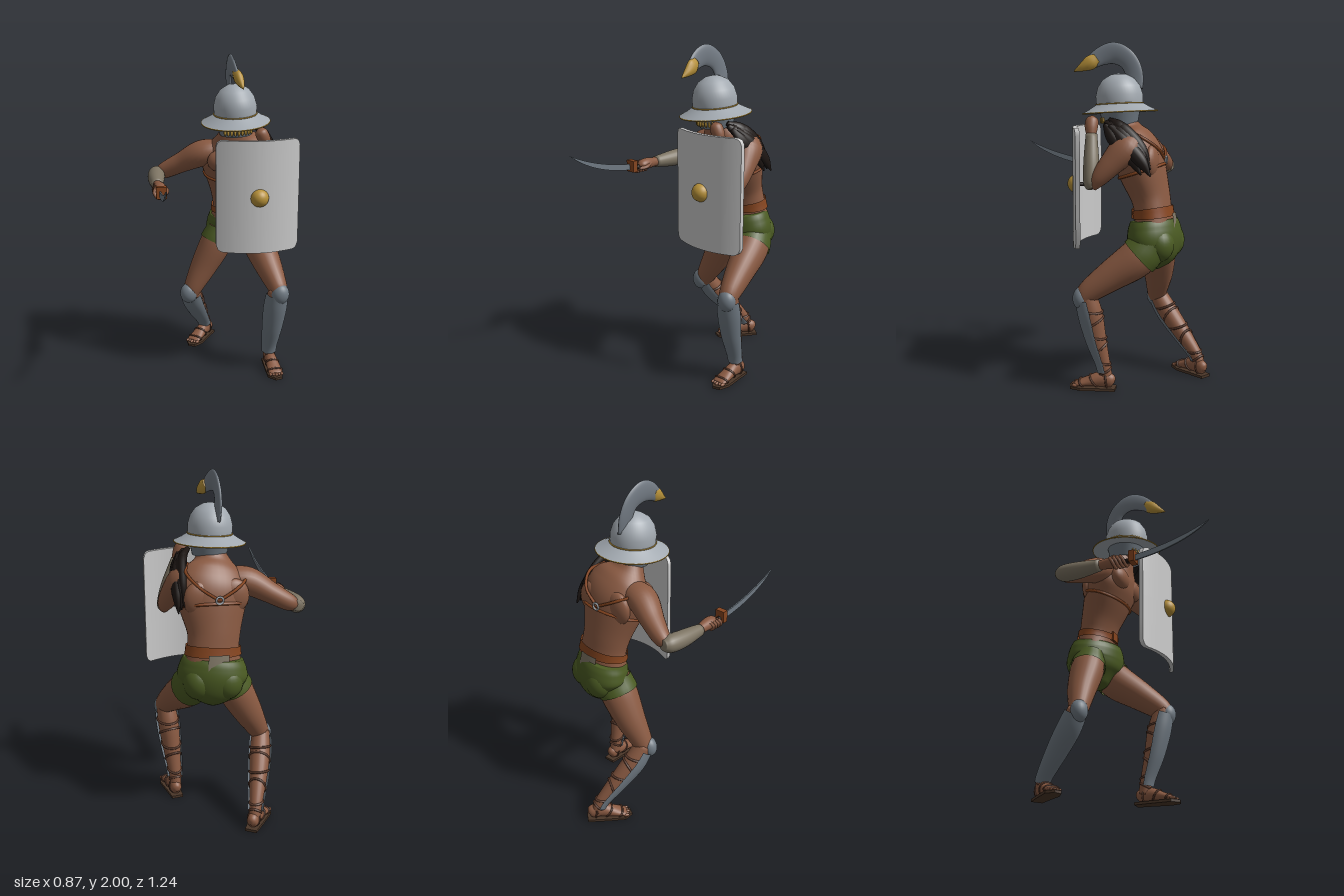
import * as THREE from 'three';
import { toCreasedNormals } from 'three/addons/utils/BufferGeometryUtils.js';

const V = (x, y, z) => new THREE.Vector3(x, y, z);
const mat = (color) => new THREE.MeshStandardMaterial({ color, side: THREE.DoubleSide });
const skin = mat(0x8a5a42), green = mat(0x4a5a22), leather = mat(0x86451f), strapMat = mat(0x5a3a2c);
const steel = mat(0xa2a9b0), darkSteel = mat(0x6f7982), gold = mat(0xb8923a), cloth = mat(0x7d7463);
const fur = mat(0x1c1512), plumeMat = mat(0x737b84), shieldMat = mat(0xe6e6e6), sole = mat(0x4a3628);

// Surface swept along points [x, y, z, sideRadius, frontRadius]; fwd is the front direction
function path(pts, fwd) {
  const pos = new THREE.CatmullRomCurve3(pts.map((p) => V(p[0], p[1], p[2])), false, 'catmullrom', 0.5);
  const rad = new THREE.CatmullRomCurve3(pts.map((p) => V(p[3], p[4] ?? p[3], 0)), false, 'catmullrom', 0.5);
  return (u, a, grow = 0) => {
    const c = pos.getPoint(u), r = rad.getPoint(u), t = pos.getTangent(u);
    const f = fwd.clone().addScaledVector(t, -fwd.dot(t)).normalize();
    const s = t.clone().cross(f);
    return c.addScaledVector(f, (Math.max(r.y, 0) + grow) * Math.cos(a))
      .addScaledVector(s, (Math.max(r.x, 0) + grow) * Math.sin(a));
  };
}

function sweep(name, at, material, { u0 = 0, u1 = 1, grow = 0, arc = Math.PI, rows = 24, cols = 24, cap = true } = {}) {
  const closed = arc === Math.PI, n = closed ? cols : cols + 1, v = [], idx = [];
  for (let i = 0; i <= rows; i++) for (let j = 0; j < n; j++) {
    v.push(...at(u0 + (u1 - u0) * i / rows, -arc + 2 * arc * j / cols, grow).toArray());
  }
  for (let i = 0; i < rows; i++) for (let j = 0; j < cols; j++) {
    const a = i * n + j, b = i * n + (j + 1) % n;
    idx.push(a, b, a + n, b, b + n, a + n);
  }
  if (closed && cap) [0, rows].forEach((row) => {
    const mid = V(0, 0, 0), k = v.length / 3;
    for (let j = 0; j < n; j++) mid.add(V(...v.slice((row * n + j) * 3, (row * n + j) * 3 + 3)));
    v.push(...mid.divideScalar(n).toArray());
    for (let j = 0; j < n; j++) {
      const a = row * n + j, b = row * n + (j + 1) % n;
      row ? idx.push(a, b, k) : idx.push(b, a, k);
    }
  });
  const g = new THREE.BufferGeometry();
  g.setAttribute('position', new THREE.Float32BufferAttribute(v, 3));
  g.setIndex(idx);
  g.computeVertexNormals();
  return part(name, g, material);
}

function part(name, geo, material, p = [0, 0, 0], s = [1, 1, 1]) {
  const m = new THREE.Mesh(geo, material);
  m.name = name;
  m.position.set(...p);
  m.scale.set(...s);
  return m;
}
const ball = (name, p, s, material) => part(name, new THREE.SphereGeometry(1, 24, 16), material, p, s);
const cord = (name, pts, r, material, closed = false) =>
  part(name, new THREE.TubeGeometry(new THREE.CatmullRomCurve3(pts, closed), 32, r, 6, closed), material);
const band = (name, at, u, slope, r, material) => cord(name, Array.from({ length: 12 }, (_, k) => {
  const a = k * Math.PI / 6;
  return at(u + slope * Math.cos(a), a, 0.001);
}), r, material, true);

// Sandalled foot, pointing along local +z
function makeFoot(name, x, z, yaw) {
  const g = new THREE.Group();
  g.name = name;
  const outline = new THREE.Shape([[-0.035, -0.12], [0.035, -0.12], [0.042, -0.03], [0.054, 0.08], [0.035, 0.145], [-0.01, 0.155],
    [-0.05, 0.11], [-0.045, 0]].map(([a, b]) => new THREE.Vector2(a, -b)).reverse());
  const base = part('sandalSole', new THREE.ExtrudeGeometry(outline, { depth: 0.016, bevelEnabled: false }), sole);
  base.rotation.x = -Math.PI / 2;
  const at = path([[0, 0.05, -0.115, 0.01], [0, 0.055, -0.095, 0.032, 0.04], [0, 0.06, -0.03, 0.036, 0.044],
    [0, 0.042, 0.05, 0.043, 0.028], [0, 0.03, 0.105, 0.044, 0.015], [0, 0.027, 0.12, 0.03, 0.01]], V(0, 1, 0));
  g.add(base, sweep('footBody', at, skin));
  for (let i = 0; i < 5; i++) g.add(ball('toe', [-0.036 + i * 0.018, 0.025, 0.115 + (i === 2 ? 0.008 : 0)], [0.01, 0.01, 0.02], skin));
  for (const u of [0.3, 0.5, 0.7]) g.add(band('sandalStrap', at, u, 0.03, 0.006, strapMat));
  g.position.set(x, 0, z);
  g.rotation.y = yaw;
  return g;
}

// Leg with greave, knee cap and leather bindings
function makeLeg(name, thigh, shin, fwd, knee) {
  const g = new THREE.Group();
  g.name = name;
  const calf = path(shin, fwd), upper = path(thigh, fwd);
  g.add(sweep('thigh', upper, skin), sweep('calf', calf, skin));
  g.add(sweep('briefsLeg', upper, green, { u1: 0.22, grow: 0.008, rows: 6, cap: false }));
  g.add(sweep('greave', calf, darkSteel, { u0: 0.06, u1: 0.85, grow: 0.013, arc: 1.6 }));
  g.add(ball('kneeCap', knee, [0.056, 0.066, 0.05], darkSteel));
  for (let i = 0; i < 6; i++) g.add(band('legBinding', calf, 0.2 + i * 0.13, i % 2 ? 0.04 : -0.04, 0.007, strapMat));
  return g;
}

export function createModel() {
  const model = new THREE.Group();
  model.name = 'fighter';

  // Torso, belt and harness
  const torso = path([[0.125, 0.87, -0.305, 0.17, 0.12], [0.125, 0.95, -0.3, 0.165, 0.115], [0.12, 1.04, -0.29, 0.15, 0.108],
    [0.11, 1.13, -0.27, 0.155, 0.115], [0.105, 1.25, -0.23, 0.19, 0.135], [0.1, 1.35, -0.195, 0.215, 0.145],
    [0.09, 1.43, -0.16, 0.19, 0.125], [0.08, 1.5, -0.125, 0.11, 0.085], [0.08, 1.58, -0.1, 0.06, 0.06]], V(0, 0, 1));
  model.add(sweep('torso', torso, skin, { rows: 40, cols: 36 }));
  model.add(sweep('belt', torso, leather, { u0: 0.2, u1: 0.27, grow: 0.01, rows: 3, cols: 36, cap: false }));
  model.add(part('beltBuckle', new THREE.BoxGeometry(0.07, 0.055, 0.02), leather, [0.12, 1.02, -0.18]));
  model.add(sweep('backCloth', (u, a, w) => torso(u, a + Math.PI, w), cloth, { u0: 0.08, u1: 0.22, grow: 0.018, arc: 0.35, rows: 4, cols: 8 }));
  for (const s of [-1, 1]) {
    model.add(ball('chestMuscle', [0.09 + s * 0.09, 1.36, -0.09], [0.09, 0.07, 0.05], skin));
    model.add(ball('shoulderBlade', [0.1 + s * 0.1, 1.33, -0.29], [0.09, 0.1, 0.045], skin));
    model.add(cord('backStrap', [torso(0.54, Math.PI, 0.004), torso(0.62, Math.PI - s * 0.5, 0.018), torso(0.72, Math.PI - s * 0.95, 0.014),
      torso(0.82, Math.PI - s * 1.4, 0.004)], 0.009, leather));
  }
  model.add(cord('chestStrap', Array.from({ length: 16 }, (_, k) => torso(0.52, k * Math.PI / 8, 0.002)), 0.009, leather, true));
  model.add(part('harnessRing', new THREE.TorusGeometry(0.02, 0.006, 8, 16), steel, torso(0.54, Math.PI, 0.01).toArray()));

  // Briefs, with the hips turned a little to the right
  const hips = path([[0.12, 0.71, -0.28, 0.05, 0.05], [0.125, 0.79, -0.3, 0.15, 0.125], [0.13, 0.87, -0.305, 0.2, 0.145],
    [0.125, 0.94, -0.3, 0.19, 0.14], [0.12, 0.985, -0.295, 0.17, 0.125]], V(-0.33, 0, 0.94));
  model.add(sweep('briefs', hips, green, { cols: 36 }));
  model.add(ball('rightButtock', [0.065, 0.86, -0.385], [0.09, 0.1, 0.082], green));
  model.add(ball('leftButtock', [0.22, 0.86, -0.345], [0.09, 0.1, 0.085], green));

  // Legs and feet
  model.add(makeLeg('leftLeg',
    [[0.23, 0.87, -0.3, 0.08, 0.1], [0.255, 0.78, -0.22, 0.1, 0.11], [0.29, 0.68, -0.08, 0.085, 0.09], [0.325, 0.58, 0.05, 0.06, 0.065], [0.325, 0.53, 0.06, 0.05]],
    [[0.325, 0.58, 0.06, 0.055], [0.315, 0.45, 0.03, 0.062, 0.066], [0.305, 0.3, 0.0, 0.053, 0.055], [0.297, 0.15, -0.04, 0.038, 0.037], [0.297, 0.06, -0.055, 0.034, 0.038]],
    V(0.12, 0, 1).normalize(), [0.335, 0.55, 0.085]));
  model.add(makeLeg('rightLeg',
    [[0.03, 0.87, -0.31, 0.08, 0.1], [-0.01, 0.77, -0.3, 0.1, 0.11], [-0.09, 0.62, -0.29, 0.085, 0.09], [-0.165, 0.48, -0.27, 0.06, 0.062], [-0.18, 0.43, -0.28, 0.05]],
    [[-0.18, 0.47, -0.27, 0.052], [-0.155, 0.37, -0.335, 0.06, 0.062], [-0.115, 0.26, -0.425, 0.053, 0.053], [-0.065, 0.13, -0.53, 0.036, 0.036], [-0.05, 0.06, -0.555, 0.033, 0.037]],
    V(-0.55, 0.2, 0.8).normalize(), [-0.195, 0.45, -0.25]));
  model.add(makeFoot('leftFoot', 0.305, 0.01, 0.05), makeFoot('rightFoot', -0.085, -0.505, -0.66));

  // Sword arm
  model.add(sweep('rightUpperArm', path([[0, 1.4, -0.18, 0.07, 0.08], [-0.11, 1.385, -0.2, 0.08, 0.09], [-0.23, 1.32, -0.25, 0.062, 0.07],
    [-0.33, 1.265, -0.285, 0.05], [-0.385, 1.245, -0.285, 0.03]], V(0, 0, 1)), skin));
  model.add(sweep('rightSleeve', path([[-0.375, 1.25, -0.325, 0.03], [-0.382, 1.245, -0.28, 0.05], [-0.39, 1.24, -0.18, 0.05],
    [-0.395, 1.24, -0.04, 0.034]], V(0, 1, 0)), cloth));
  model.add(sweep('rightHand', path([[-0.393, 1.24, -0.06, 0.026], [-0.39, 1.243, -0.01, 0.03], [-0.385, 1.245, 0.05, 0.038, 0.034],
    [-0.38, 1.245, 0.09, 0.032, 0.026], [-0.38, 1.245, 0.11, 0.01]], V(0, 1, 0)), skin));
  for (let i = 0; i < 4; i++) {
    const z = 0.045 + i * 0.022;
    model.add(cord('rightFinger', [V(-0.41, 1.265, z - 0.02), V(-0.422, 1.235, z), V(-0.4, 1.207, z + 0.01), V(-0.375, 1.21, z + 0.01)], 0.01, skin));
  }
  model.add(cord('rightThumb', [V(-0.36, 1.25, 0.03), V(-0.345, 1.235, 0.08), V(-0.36, 1.23, 0.12)], 0.012, skin));

  // Curved sword
  const grip = part('swordGrip', new THREE.CylinderGeometry(0.015, 0.015, 0.16, 12), fur, [-0.385, 1.235, 0.08]);
  grip.rotation.x = Math.PI / 2;
  model.add(grip, ball('swordPommel', [-0.38, 1.235, 0.01], [0.02, 0.02, 0.02], leather));
  model.add(part('swordGuard', new THREE.BoxGeometry(0.06, 0.07, 0.035), leather, [-0.385, 1.25, 0.16]));
  const blade = new THREE.Shape();
  blade.moveTo(0.16, 1.225);
  blade.bezierCurveTo(0.3, 1.235, 0.5, 1.28, 0.62, 1.385);
  blade.bezierCurveTo(0.5, 1.325, 0.35, 1.28, 0.16, 1.26);
  const bladeGeo = new THREE.ExtrudeGeometry(blade, { depth: 0.008, bevelEnabled: false, curveSegments: 20 });
  bladeGeo.rotateY(-Math.PI / 2);
  model.add(part('swordBlade', bladeGeo, darkSteel, [-0.388, 0, 0]));

  // Shield arm
  model.add(sweep('leftUpperArm', path([[0.2, 1.43, -0.17, 0.07], [0.265, 1.41, -0.16, 0.075, 0.09], [0.305, 1.33, -0.09, 0.06, 0.07],
    [0.325, 1.24, -0.015, 0.048], [0.33, 1.19, 0.02, 0.025]], V(0, 0, 1)), skin));
  model.add(sweep('leftSleeve', path([[0.335, 1.185, 0.015, 0.025], [0.325, 1.22, 0.027, 0.043], [0.295, 1.33, 0.033, 0.044], [0.24, 1.48, 0.045, 0.033]], V(0, 0, 1)), cloth));
  model.add(sweep('leftHand', path([[0.245, 1.47, 0.045, 0.026], [0.225, 1.52, 0.05, 0.037], [0.205, 1.56, 0.05, 0.035], [0.195, 1.58, 0.05, 0.01]], V(0, 0, 1)), skin));
  model.add(cord('shieldHandle', [V(0.1, 1.21, 0.12), V(0.17, 1.2, 0.07), V(0.27, 1.2, 0.06), V(0.34, 1.21, 0.1)], 0.011, fur));

  // Dark fur draped over the left shoulder
  for (let i = 0; i < 7; i++) {
    const k = i / 6, d = 0.03 * Math.sin(i * 2.3);
    model.add(sweep('shoulderFur', path([[0.2 + k * 0.06, 1.56 - k * 0.03, -0.05 - d * 0.5, 0.015], [0.25 + k * 0.045, 1.52 - k * 0.07, -0.12 - d, 0.04, 0.025],
      [0.275 + k * 0.04, 1.42 - k * 0.07, -0.22 - d, 0.038, 0.022], [0.28 + k * 0.04, 1.3 - k * 0.04, -0.28 - d, 0.004]], V(1, 0.4, 0).normalize()), fur, { cols: 10 }));
  }

  // Bent shield with rounded corners
  const sg = new THREE.BoxGeometry(0.494, 0.675, 0.026, 60, 4, 1), p = sg.attributes.position, r = 0.04;
  for (let i = 0; i < p.count; i++) {
    const x = p.getX(i), e = Math.max(0, r - (0.247 - Math.abs(x)));
    p.setY(i, p.getY(i) * (0.3375 - r + Math.sqrt(Math.max(0, r * r - e * e))) / 0.3375);
    p.setZ(i, p.getZ(i) - 1.1 * x * x);
  }
  model.add(part('shield', toCreasedNormals(sg, 0.7), shieldMat, [0.185, 1.188, 0.142]));
  const boss = part('shieldBoss', new THREE.SphereGeometry(0.054, 24, 12, 0, Math.PI * 2, 0, Math.PI / 2), gold, [0.185, 1.19, 0.148]);
  boss.rotation.x = Math.PI / 2;
  model.add(boss);

  // Helmet with brim, face guard and plume
  const helmet = new THREE.Group();
  helmet.name = 'helmet';
  const profile = [[0.11, -0.03], [0.21, -0.04], [0.213, -0.034], [0.17, -0.012], [0.132, 0.012], [0.134, 0.06], [0.12, 0.11], [0.09, 0.152], [0.045, 0.178], [0, 0.186]];
  const shell = new THREE.LatheGeometry(profile.map(([a, b]) => new THREE.Vector2(a, b)), 48);
  helmet.add(part('helmetShell', toCreasedNormals(shell, 0.6), steel, [0, 0, 0], [0.95, 1, 1.02]));
  for (const [rad, y] of [[0.212, -0.037], [0.134, 0.012]]) {
    const trim = part('helmetTrim', new THREE.TorusGeometry(rad, 0.004, 6, 48), gold, [0, y, 0], [0.95, 1.02, 1]);
    trim.rotation.x = Math.PI / 2;
    helmet.add(trim);
  }
  helmet.add(ball('head', [0, -0.02, 0], [0.095, 0.1, 0.11], skin));
  helmet.add(part('faceGuard', new THREE.CylinderGeometry(0.12, 0.098, 0.09, 32, 1, true), darkSteel, [0, -0.065, 0]));
  for (let i = 0; i < 9; i++) {
    const a = (i - 4) * 0.19;
    helmet.add(ball('faceGrille', [0.112 * Math.sin(a), -0.08, 0.112 * Math.cos(a)], [0.008, 0.018, 0.006], gold));
  }
  helmet.position.set(0.078, 1.635, -0.082);
  helmet.rotation.set(0.06, 0, 0.05);
  model.add(helmet);
  model.add(sweep('plume', path([[0.06, 1.73, -0.165, 0.05, 0.014], [0.05, 1.82, -0.16, 0.052, 0.016], [0.045, 1.895, -0.12, 0.055, 0.017], [0.042, 1.934, -0.045, 0.062, 0.017],
    [0.047, 1.918, 0.03, 0.054, 0.016], [0.06, 1.875, 0.1, 0.035, 0.014], [0.072, 1.845, 0.15, 0.008]], V(1, 0, 0)), plumeMat, { rows: 32 }));
  model.add(sweep('plumeTip', path([[0.055, 1.905, 0.06, 0.03, 0.02], [0.065, 1.88, 0.095, 0.042, 0.026], [0.073, 1.855, 0.14, 0.026, 0.02], [0.078, 1.83, 0.19, 0.003]], V(1, 0, 0)), gold, { cols: 12 }));
  return model;
}
